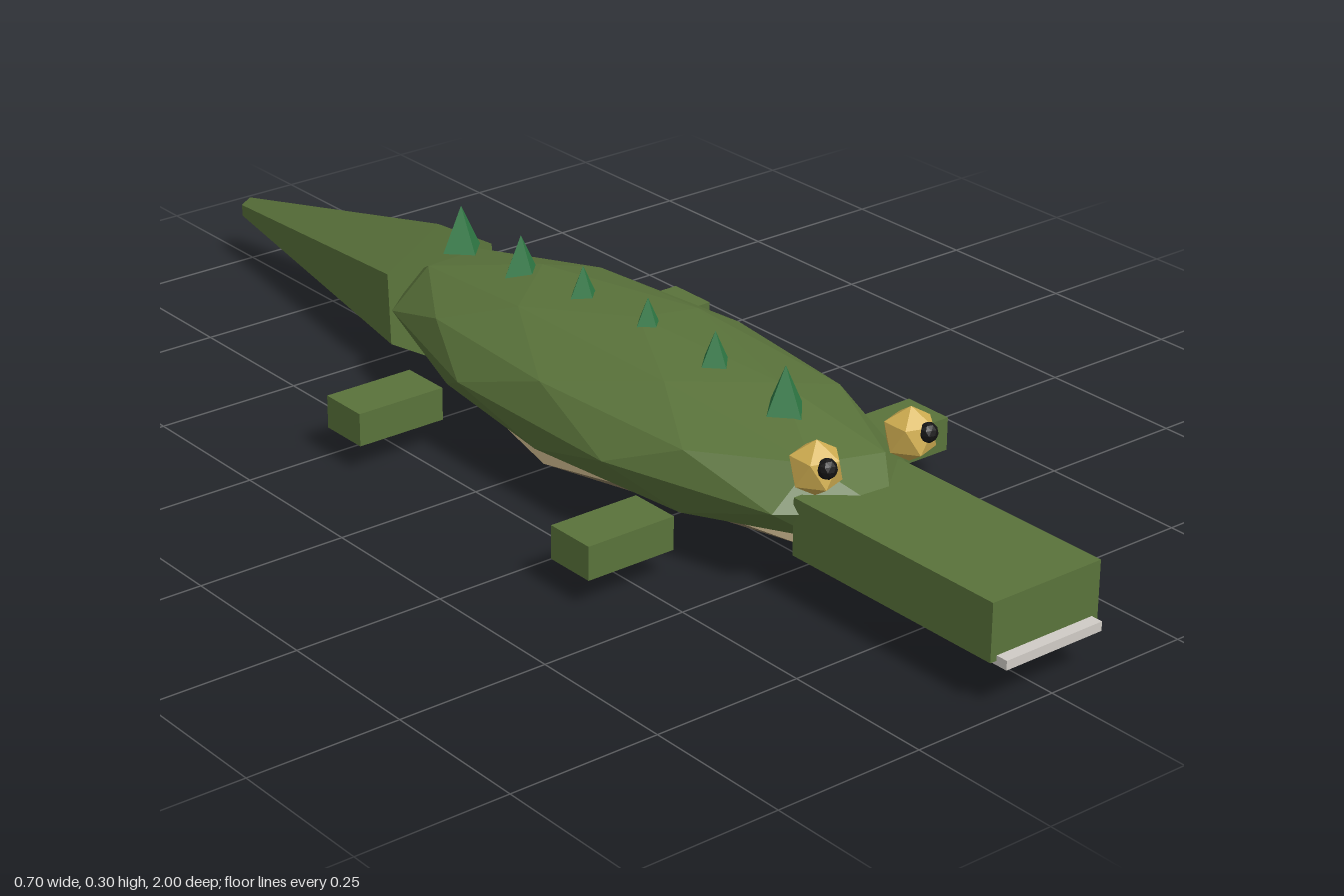
import * as THREE from 'three';

const mat = (name, color) => new THREE.MeshStandardMaterial({ name, color, flatShading: true });

export function createModel() {
  const model = new THREE.Group();
  model.name = 'crocodile';
  const skin = mat('olive skin', 0x5a733b);
  const bellyTan = mat('belly tan', 0x8f7f60);
  const gold = mat('eye gold', 0xd2b052);
  const black = mat('pupil black', 0x141414);
  const spikeGreen = mat('spike green', 0x2f7a45);
  const pale = mat('jaw pale grey', 0xd0ccc6);

  const add = (name, geometry, material, x, y, z) => {
    const mesh = new THREE.Mesh(geometry, material);
    mesh.name = name;
    mesh.position.set(x, y, z);
    model.add(mesh);
    return mesh;
  };

  // Faceted ball standing on one of its points, stretched per axis
  const ball = (rx, ry, rz, detail) =>
    new THREE.IcosahedronGeometry(1, detail)
      .rotateZ(-Math.atan(2 / (1 + Math.sqrt(5))))
      .scale(rx, ry, rz);

  // Body and belly
  add('body', ball(0.226, 0.113, 0.58, 1), skin, 0, 0.149, 0.088);
  add('belly', ball(0.207, 0.038, 0.52, 0), bellyTan, 0, 0.085, 0.088);

  // Head and lower jaw
  add('head', new THREE.BoxGeometry(0.206, 0.093, 0.41), skin, 0, 0.126, 0.775);
  add('jaw', new THREE.BoxGeometry(0.183, 0.015, 0.34), pale, 0, 0.0805, 0.83);

  // Six-sided tail, sloping slightly down to its blunt tip
  const tail = add('tail', new THREE.CylinderGeometry(0.02, 0.122, 0.573, 6), skin, 0, 0.114, -0.714);
  tail.rotation.x = -Math.PI / 2 - 0.049;

  for (const side of [-1, 1]) {
    const label = side > 0 ? 'left' : 'right';
    // Eyes
    add(label + 'Eye', ball(0.043, 0.044, 0.043, 0), gold, side * 0.091, 0.229, 0.602);
    add(label + 'Pupil', ball(0.016, 0.016, 0.016, 1), black, side * 0.097, 0.24, 0.632);
    // Legs
    for (const [part, z] of [['FrontLeg', 0.367], ['BackLeg', -0.205]]) {
      add(label + part, new THREE.BoxGeometry(0.158, 0.055, 0.088), skin, side * 0.273, 0.081, z);
    }
  }

  // Row of back spikes
  for (let i = 0; i < 6; i++) {
    add('backSpike' + (i + 1), new THREE.ConeGeometry(0.037, 0.075, 4), spikeGreen, 0, 0.2645, 0.43 - i * 0.16);
  }
  return model;
}
